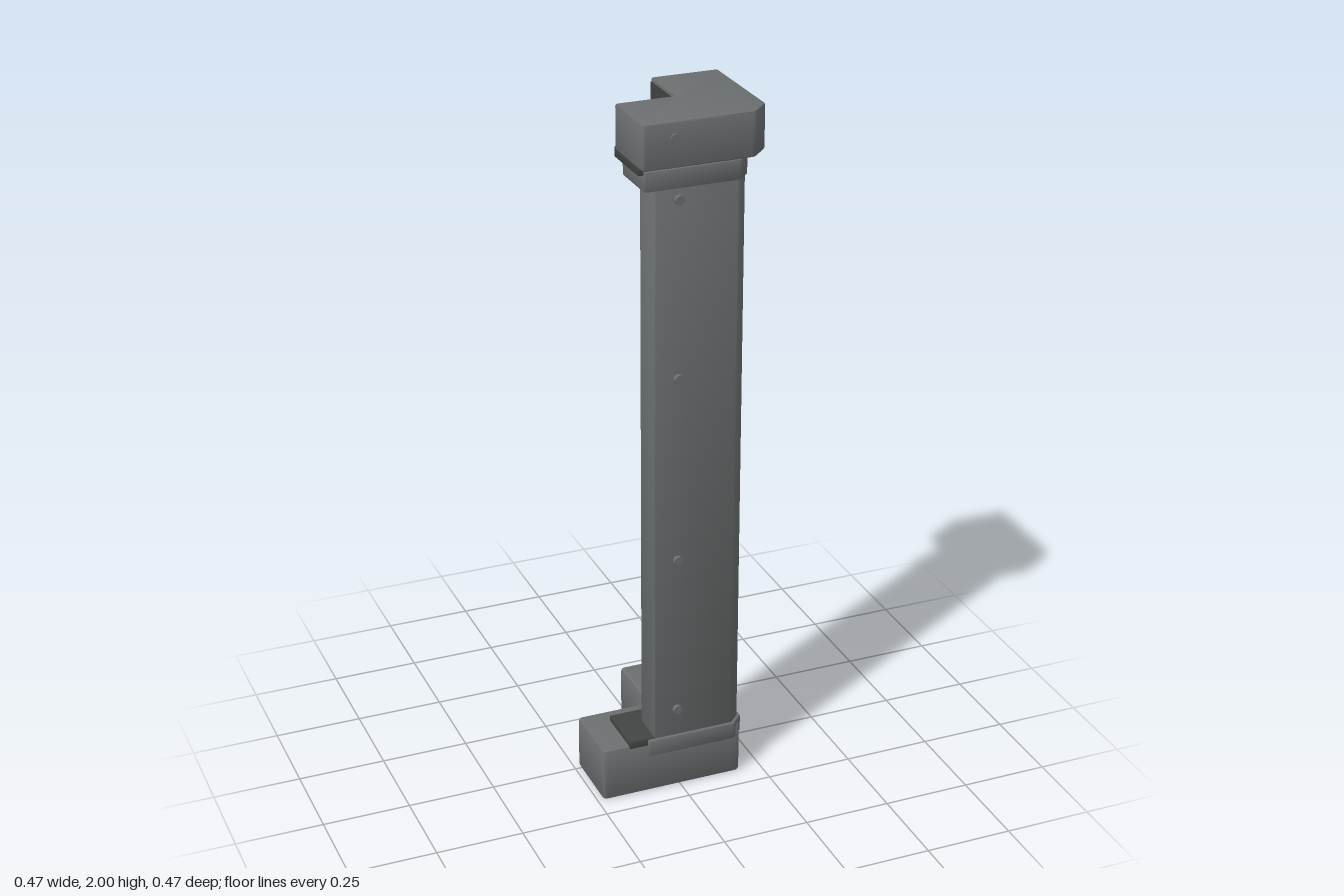
import * as THREE from 'three';
import { toCreasedNormals } from 'three/addons/utils/BufferGeometryUtils.js';

const stone = new THREE.MeshStandardMaterial({ color: 0x6b6f6f });
stone.name = 'grey';
const dark = new THREE.MeshStandardMaterial({ color: 0x424343 });
dark.name = 'dark grey';

// L-shaped plan: arms end at `end`, outer faces at `outer`, inner corner at `inner`,
// outer corner cut by `cut`, every corner rounded by `round`.
function planL({ end, outer, inner, cut, round }) {
  const corner = cut > 0 ? [[outer, outer - cut], [outer - cut, outer]] : [[outer, outer]];
  const pts = [[inner, end], [outer, end], ...corner, [end, outer], [end, inner], [inner, inner]]
    .map(([x, z]) => new THREE.Vector2(x, z));
  const shape = new THREE.Shape();
  pts.forEach((p, k) => {
    const prev = pts[(k + pts.length - 1) % pts.length];
    const next = pts[(k + 1) % pts.length];
    const a = p.clone().add(prev.clone().sub(p).setLength(round));
    const b = p.clone().add(next.clone().sub(p).setLength(round));
    if (k === 0) shape.moveTo(a.x, a.y);
    else shape.lineTo(a.x, a.y);
    shape.quadraticCurveTo(p.x, p.y, b.x, b.y);
  });
  shape.closePath();
  return shape;
}

// Upright L-shaped block between two heights, with softened edges.
function blockL(name, material, y0, y1, plan, bevel) {
  let geo = new THREE.ExtrudeGeometry(planL(plan), {
    depth: y1 - y0 - 2 * bevel, curveSegments: 4,
    bevelEnabled: true, bevelSize: bevel, bevelThickness: bevel, bevelOffset: -bevel, bevelSegments: 2,
  });
  geo.rotateX(Math.PI / 2).translate(0, y1 - bevel, 0);
  geo = toCreasedNormals(geo, 0.6);
  const mesh = new THREE.Mesh(geo, material);
  mesh.name = name;
  return mesh;
}

export function createModel() {
  const model = new THREE.Group();
  model.name = 'cornerColumn';

  // Stacked L-shaped sections, bottom to top
  model.add(
    blockL('base', stone, 0, 0.16, { end: -0.235, outer: 0.185, inner: -0.02, cut: 0, round: 0.016 }, 0.01),
    blockL('baseTrim', dark, 0.15, 0.175, { end: -0.155, outer: 0.185, inner: 0.03, cut: 0.03, round: 0.004 }, 0.003),
    blockL('baseBand', stone, 0.12, 0.17, { end: -0.10, outer: 0.195, inner: 0.09, cut: 0.035, round: 0.004 }, 0.003),
    blockL('shaft', stone, 0.15, 1.85, { end: -0.08, outer: 0.186, inner: 0.085, cut: 0.03, round: 0.004 }, 0.003),
    blockL('collar', stone, 1.805, 1.86, { end: -0.11, outer: 0.192, inner: 0.04, cut: 0.035, round: 0.004 }, 0.003),
    blockL('collarTrim', dark, 1.85, 1.88, { end: -0.125, outer: 0.186, inner: 0.021, cut: 0.035, round: 0.004 }, 0.003),
    blockL('cap', stone, 1.875, 2, { end: -0.13, outer: 0.23, inner: 0.038, cut: 0.05, round: 0.008 }, 0.006),
  );

  // Dark lining on the two inner faces of the cap
  const lining = new THREE.BoxGeometry(0.158, 0.108, 0.004);
  const backLining = new THREE.Mesh(lining, dark);
  backLining.name = 'capLiningBack';
  backLining.position.set(-0.043, 1.936, 0.037);
  const sideLining = new THREE.Mesh(lining, dark);
  sideLining.name = 'capLiningSide';
  sideLining.rotation.y = Math.PI / 2;
  sideLining.position.set(0.037, 1.936, -0.043);
  model.add(backLining, sideLining);

  // Rivets on the front and left faces: [along face, height, face distance]
  const rivetGeo = new THREE.CylinderGeometry(0.013, 0.015, 0.016, 10).rotateX(Math.PI / 2);
  const rivets = [0.253, 0.727, 1.27, 1.773].map((y) => [-0.012, y, 0.188]);
  rivets.push([-0.041, 1.955, 0.227]);
  for (const [s, y, d] of rivets) {
    const front = new THREE.Mesh(rivetGeo, stone);
    front.name = 'frontRivet';
    front.position.set(s, y, d);
    const side = new THREE.Mesh(rivetGeo, stone);
    side.name = 'sideRivet';
    side.rotation.y = Math.PI / 2;
    side.position.set(d, y, s);
    model.add(front, side);
  }
  return model;
}
